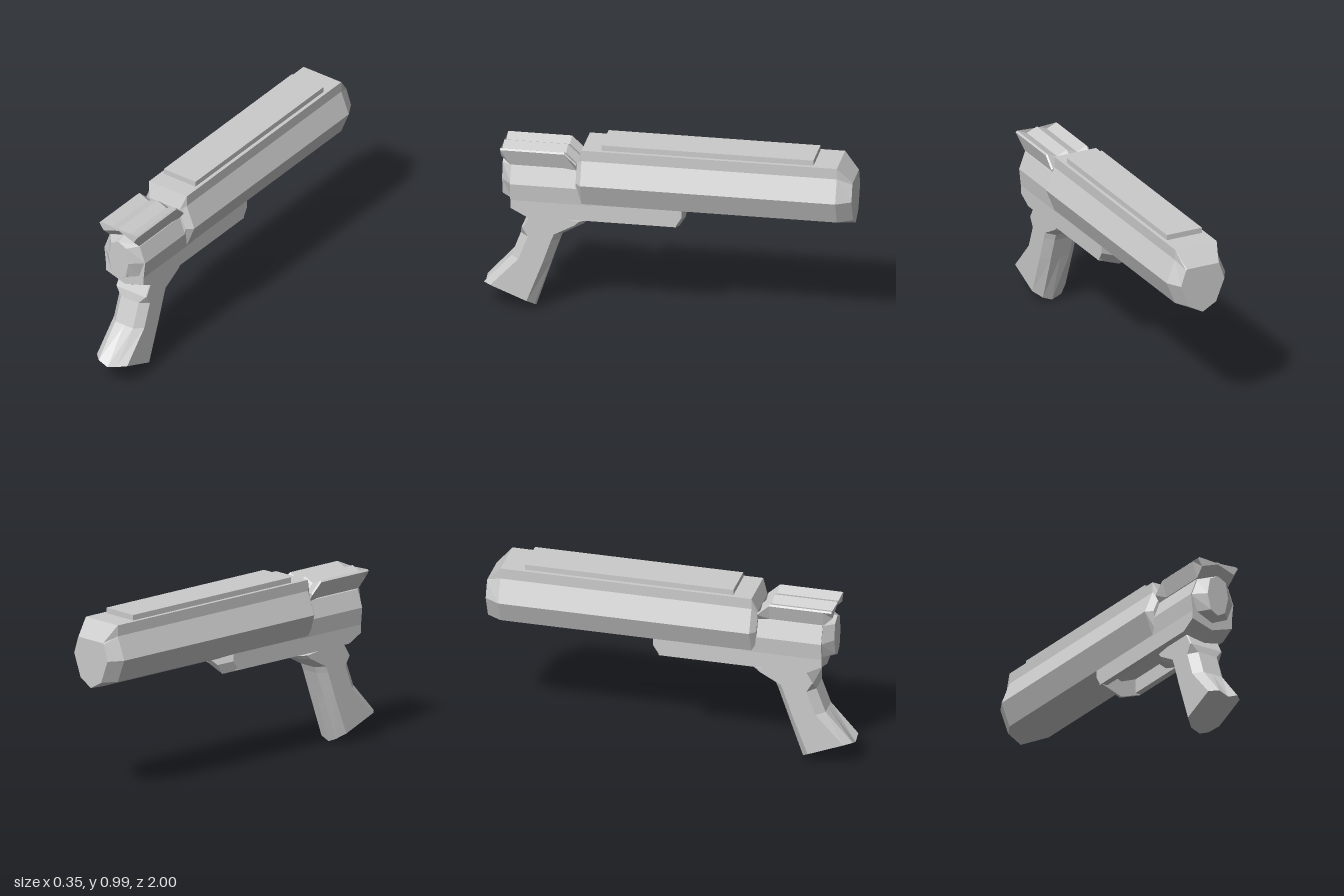
import * as THREE from 'three';

const material = new THREE.MeshStandardMaterial({ color: 0xcccccc, flatShading: true });

// Mirror a half outline (x >= 0) across x = 0 into a closed ring
function mirrorRing(half) {
  const other = half.filter(p => p[0] > 0).reverse().map(([x, y, z]) => [-x, y, z]);
  return [...half, ...other];
}

// Skin a list of half outlines and close both ends with a fan
function loft(name, halves) {
  const rings = halves.map(mirrorRing);
  const out = [];
  const tri = (...points) => points.forEach(p => out.push(...p));
  const n = rings[0].length;
  for (let r = 0; r < rings.length - 1; r++) {
    for (let i = 0; i < n; i++) {
      const j = (i + 1) % n;
      const [a, b, d, e] = [rings[r][i], rings[r][j], rings[r + 1][i], rings[r + 1][j]];
      tri(a, d, b);
      tri(b, d, e);
    }
  }
  [0, rings.length - 1].forEach((r, end) => {
    const first = halves[r][0], last = halves[r][halves[r].length - 1];
    const centre = [0, (first[1] + last[1]) / 2, (first[2] + last[2]) / 2];
    for (let i = 0; i < n; i++) {
      const a = rings[r][i], b = rings[r][(i + 1) % n];
      if (end) tri(centre, b, a); else tri(centre, a, b);
    }
  });
  const geometry = new THREE.BufferGeometry();
  geometry.setAttribute('position', new THREE.Float32BufferAttribute(out, 3));
  geometry.computeVertexNormals();
  const mesh = new THREE.Mesh(geometry, material);
  mesh.name = name;
  return mesh;
}

// Outline of [x, y] pairs placed at a depth z
const at = (z, outline) => outline.map(([x, y]) => [x, y, z]);

function box(name, x0, x1, y0, y1, z0, z1) {
  const mesh = new THREE.Mesh(new THREE.BoxGeometry(x1 - x0, y1 - y0, z1 - z0), material);
  mesh.position.set((x0 + x1) / 2, (y0 + y1) / 2, (z0 + z1) / 2);
  mesh.name = name;
  return mesh;
}

// Horizontal grip outline from back edge to front edge, with chamfered corners
function gripRing(back, front, backFlat, backInset, drop = 0) {
  const [bz, by] = back, [fz, fy] = front;
  const point = (x, t) => [x, by + (fy - by) * t - drop * (1 - x / 0.1), bz + (fz - bz) * t];
  const length = Math.hypot(bz - fz, by - fy);
  return [
    point(0, 0), point(backFlat, 0), point(0.1, backInset / length),
    point(0.1, 1 - 0.04 / length), point(0.055, 1), point(0, 1),
  ];
}

export function createModel() {
  const group = new THREE.Group();

  // Long faceted barrel housing with bevelled ends
  const section = [[0, 0.6], [0.125, 0.65], [0.175, 0.775], [0.125, 0.9], [0.125, 0.96]];
  group.add(loft('barrelHousing', [
    at(0.49, [[0, 0.6], [0.11, 0.65], [0.14, 0.775], [0.105, 0.86], [0.1, 0.88]]),
    at(0.46, section),
    at(-0.92, section),
    at(-1, [[0, 0.605], [0.08, 0.65], [0.13, 0.775], [0.1, 0.865], [0.095, 0.87]]),
  ]));

  // Raised plate on top of the housing
  group.add(box('topPlate', -0.105, 0.105, 0.95, 0.99, -0.79, 0.355));

  // Receiver behind the housing, with a V-shaped underside
  const receiver = (z, side, bottom) => at(z, [
    [0, bottom], [0.125, side], [0.125, 0.645], [0.135, 0.74], [0.1, 0.835], [0, 0.875],
  ]);
  group.add(loft('receiver', [
    receiver(0.845, 0.6, 0.56),
    receiver(0.76, 0.555, 0.51),
    receiver(0.4, 0.555, 0.51),
  ]));

  // Faceted knob closing the receiver
  group.add(loft('endKnob', [
    at(0.9, [[0, 0.625], [0.045, 0.65], [0.065, 0.74], [0.05, 0.83], [0, 0.855]]),
    at(0.84, [[0, 0.6], [0.1, 0.645], [0.135, 0.74], [0.1, 0.835], [0, 0.875]]),
  ]));

  // Winged saddle over the receiver, undercut at the front
  const saddle = (z, low, top) => at(z, [
    [0, 0.925 - low], [0.1, 0.89 - low], [0.127, 0.93 - top],
    [0.118, 0.938 - top], [0.06, 0.913 - top], [0, 0.938 - top],
  ]);
  group.add(loft('saddle', [
    saddle(0.9, 0, 0),
    saddle(0.85, 0.05, 0),
    saddle(0.555, 0.05, 0),
    saddle(0.49, 0.06, 0.06),
  ]));

  // Open recess under the housing: two side rails and a closing block
  for (const side of [-1, 1]) {
    const rail = box('recessRail', -0.0175, 0.0175, 0.555, 0.67, -0.05, 0.43);
    rail.position.x = side * 0.1075;
    group.add(rail);
  }
  const block = (z, side, bottom) => at(z, [[0, bottom], [0.125, side], [0.125, 0.67], [0, 0.67]]);
  group.add(loft('recessBlock', [
    block(-0.03, 0.555, 0.51),
    block(-0.045, 0.555, 0.51),
    block(-0.08, 0.61, 0.565),
  ]));

  // Raked grip flaring to a ridged base
  group.add(loft('grip', [
    gripRing([0.75, 0.57], [0.44, 0.53], 0.095, 0.005),
    gripRing([0.755, 0.54], [0.46, 0.51], 0.095, 0.005),
    gripRing([0.79, 0.48], [0.575, 0.445], 0.095, 0.005),
    gripRing([0.8, 0.435], [0.59, 0.41], 0.058, 0.045),
    gripRing([0.85, 0.3], [0.635, 0.28], 0.058, 0.045),
    gripRing([1, 0.15], [0.725, 0.04], 0.058, 0.045, 0.04),
  ]));

  return group;
}
